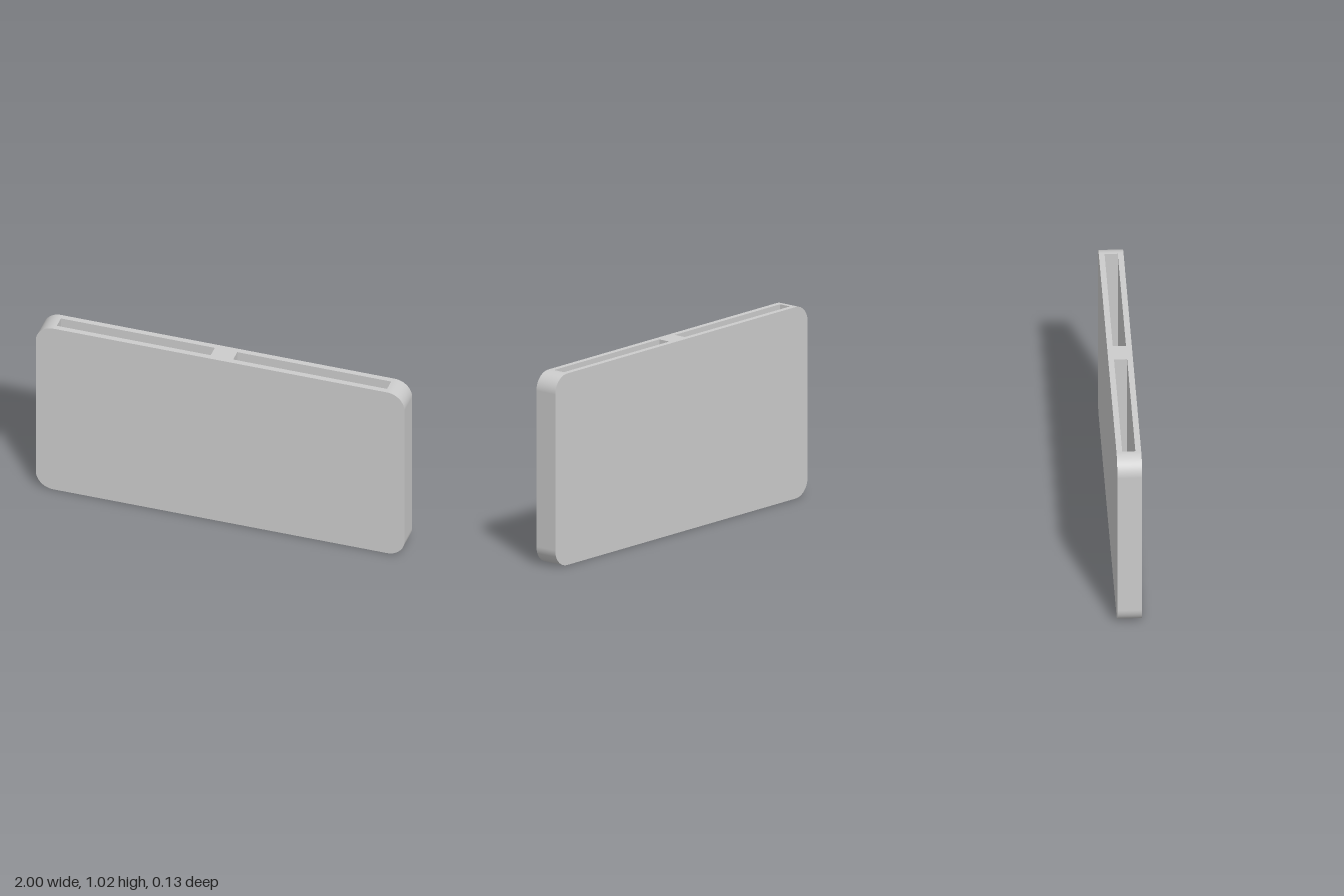
import * as THREE from 'three';

const W = 1, H = 1.02, D = 0.064, R = 0.095;           // half width, height, half depth, corner radius
const SLOT = { x0: 0.061, x1: 0.896, z: 0.034 };       // one slot, mirrored to the other side
const material = new THREE.MeshStandardMaterial({ color: 0xcccccc });

// Rectangle outline, corner to corner
function rect(Type, x0, y0, x1, y1) {
  return new Type([[x0, y0], [x1, y0], [x1, y1], [x0, y1]].map(p => new THREE.Vector2(...p)));
}

// Front outline with rounded corners
function panelShape() {
  const s = new THREE.Shape();
  s.absarc(W - R, R, R, -Math.PI / 2, 0);
  s.absarc(W - R, H - R, R, 0, Math.PI / 2);
  s.absarc(-W + R, H - R, R, Math.PI / 2, Math.PI);
  s.absarc(-W + R, R, R, Math.PI, Math.PI * 1.5);
  return s;
}

// Rounded end wall: a strip bent along the two corner arcs
function endGeometry() {
  const n = 16, cols = 2 * n + 2;
  const g = new THREE.PlaneGeometry(2, 2, cols - 1, 1);
  const pos = g.attributes.position, nor = g.attributes.normal;
  for (let i = 0; i < pos.count; i++) {
    const col = i % cols, upper = col > n;
    const a = ((upper ? col - n - 1 : col - n) / n) * Math.PI / 2;
    const c = Math.cos(a), s = Math.sin(a);
    pos.setXYZ(i, W - R + R * c, (upper ? H - R : R) + R * s, pos.getY(i) * D);
    nor.setXYZ(i, c, s, 0);
  }
  return g;
}

export function createModel() {
  const model = new THREE.Group();
  const add = (name, geometry, x = 0, y = 0, z = 0, parent = model) => {
    const mesh = new THREE.Mesh(geometry, material);
    mesh.name = name;
    mesh.position.set(x, y, z);
    parent.add(mesh);
    return mesh;
  };

  // Large flat panels
  const panel = new THREE.ShapeGeometry(panelShape(), 16);
  add('frontPanel', panel, 0, 0, D);
  add('backPanel', panel, 0, 0, -D).rotation.y = Math.PI;

  // Rounded ends
  const end = endGeometry();
  add('leftEnd', end);
  add('rightEnd', end).rotation.y = Math.PI;

  // Top and bottom edges, each pierced by two slots
  const edge = rect(THREE.Shape, -W + R, -D, W - R, D);
  edge.holes.push(
    rect(THREE.Path, SLOT.x0, -SLOT.z, SLOT.x1, SLOT.z),
    rect(THREE.Path, -SLOT.x1, -SLOT.z, -SLOT.x0, SLOT.z));
  const edgeGeometry = new THREE.ShapeGeometry(edge);
  add('topEdge', edgeGeometry, 0, H, 0).rotation.x = -Math.PI / 2;
  add('bottomEdge', edgeGeometry).rotation.x = Math.PI / 2;

  // Inner walls of the slots, running right through from top to bottom
  const length = SLOT.x1 - SLOT.x0;
  const longWall = new THREE.PlaneGeometry(length, H);
  const shortWall = new THREE.PlaneGeometry(SLOT.z * 2, H);
  for (const side of [1, -1]) {
    const slot = new THREE.Group();
    slot.name = side > 0 ? 'leftSlot' : 'rightSlot';
    slot.position.set(side * (SLOT.x0 + SLOT.x1) / 2, H / 2, 0);
    for (const s of [1, -1]) {
      add('slotLongWall', longWall, 0, 0, s * SLOT.z, slot).rotation.y = s > 0 ? Math.PI : 0;
      add('slotEndWall', shortWall, s * length / 2, 0, 0, slot).rotation.y = -s * Math.PI / 2;
    }
    model.add(slot);
  }
  return model;
}
